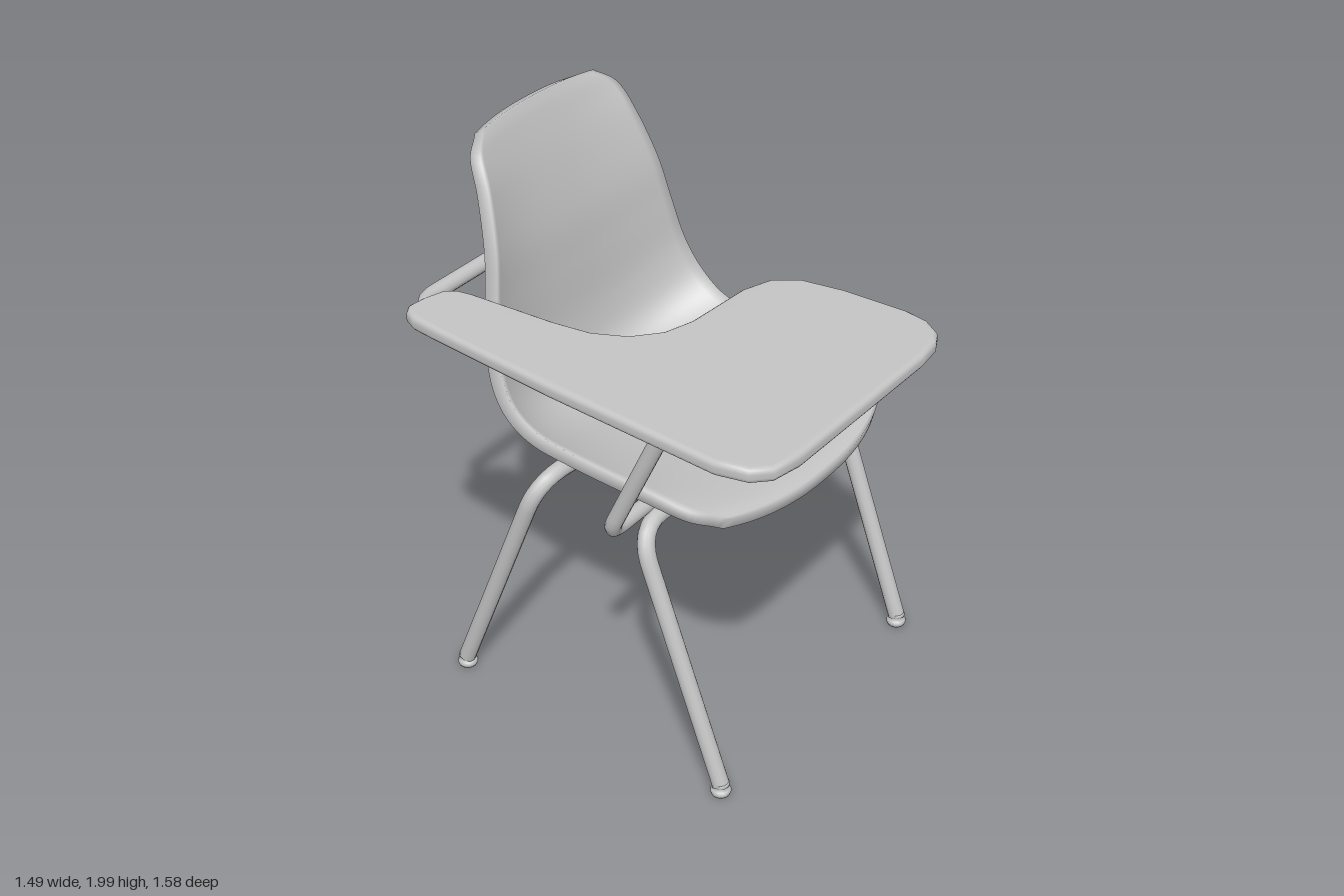
import * as THREE from 'three';
import { mergeVertices } from 'three/addons/utils/BufferGeometryUtils.js';

const V = (x, y, z) => new THREE.Vector3(x, y, z);
const CX = 0.165; // middle of the chair; the writing tablet hangs off to one side

// Tube along straight runs with rounded corners
function bentTube(points, radius, bend) {
  const path = new THREE.CurvePath();
  let from = points[0];
  for (let i = 1; i < points.length - 1; i++) {
    const p = points[i];
    const a = p.clone().add(points[i - 1].clone().sub(p).setLength(bend));
    const b = p.clone().add(points[i + 1].clone().sub(p).setLength(bend));
    path.add(new THREE.LineCurve3(from, a));
    path.add(new THREE.QuadraticBezierCurve3(a, p, b));
    from = b;
  }
  path.add(new THREE.LineCurve3(from, points[points.length - 1]));
  return new THREE.TubeGeometry(path, 100, radius, 12);
}

// Moulded shell: centre line and edge line blended across the width, then thickened
function shellGeometry() {
  // [centre z, centre y, edge half width, edge y, edge z]
  const sections = [
    [0.425, 1.01, 0.445, 1.03, 0.335],
    [0.33, 1.025, 0.505, 1.055, 0.24],
    [0.1, 1.015, 0.523, 1.08, 0.08],
    [-0.2, 0.993, 0.527, 1.1, -0.2],
    [-0.44, 0.99, 0.527, 1.125, -0.36],
    [-0.56, 1.05, 0.522, 1.2, -0.46],
    [-0.605, 1.19, 0.498, 1.32, -0.52],
    [-0.622, 1.4, 0.46, 1.48, -0.548],
    [-0.638, 1.58, 0.42, 1.65, -0.575],
    [-0.68, 1.78, 0.377, 1.82, -0.63],
    [-0.725, 1.93, 0.345, 1.925, -0.685],
    [-0.75, 1.99, 0.275, 1.98, -0.73],
  ];
  const centre = new THREE.CatmullRomCurve3(sections.map(s => V(0, s[1], s[0])), false, 'catmullrom');
  const edge = new THREE.CatmullRomCurve3(sections.map(s => V(s[2], s[3], s[4])), false, 'catmullrom');
  const nu = 32, nv = 66, row = nu + 1, count = row * (nv + 1);
  const pos = [], top = [];
  for (let j = 0; j <= nv; j++) {
    const c = centre.getPoint(j / nv), e = edge.getPoint(j / nv);
    for (let i = 0; i <= nu; i++) {
      const u = (i / nu) * 2 - 1, k = Math.abs(u) ** 2.4;
      pos.push(CX + e.x * u, c.y + (e.y - c.y) * k, c.z + (e.z - c.z) * k);
      if (i < nu && j < nv) {
        const a = j * row + i;
        top.push(a, a + 1, a + row, a + 1, a + row + 1, a + row);
      }
    }
  }
  const face = new THREE.BufferGeometry();
  face.setAttribute('position', new THREE.Float32BufferAttribute(pos, 3));
  face.setIndex(top);
  face.computeVertexNormals();
  const n = face.attributes.normal.array;
  const all = pos.concat(pos.map((p, i) => p - 0.04 * n[i]));
  const index = [...top];
  for (let i = 0; i < top.length; i += 3) index.push(top[i] + count, top[i + 2] + count, top[i + 1] + count);
  // rim joining the two skins
  const rim = (a, b) => index.push(b, a, a + count, b, a + count, b + count);
  for (let i = 0; i < nu; i++) {
    rim(i, i + 1);
    rim(nv * row + i + 1, nv * row + i);
  }
  for (let j = 0; j < nv; j++) {
    rim(j * row + nu, (j + 1) * row + nu);
    rim((j + 1) * row, j * row);
  }
  const g = new THREE.BufferGeometry();
  g.setAttribute('position', new THREE.Float32BufferAttribute(all, 3));
  g.setIndex(index);
  g.computeVertexNormals();
  return g;
}

// L-shaped writing tablet with softened edges
function tabletGeometry() {
  const outline = [
    [-0.62, -0.615], [-0.56, -0.61], [-0.49, -0.59], [-0.46, -0.55], [-0.45, -0.5], [-0.43, -0.2],
    [-0.41, -0.07], [-0.36, 0.03], [-0.28, 0.1], [-0.18, 0.13], [0.06, 0.145], [0.16, 0.18],
    [0.22, 0.26], [0.245, 0.4], [0.253, 0.62], [0.24, 0.7], [0.2, 0.76], [0.15, 0.785],
    [0.06, 0.795], [-0.57, 0.79], [-0.67, 0.77], [-0.72, 0.72], [-0.745, 0.62], [-0.715, 0],
    [-0.68, -0.45], [-0.67, -0.55], [-0.65, -0.595],
  ];
  const shape = new THREE.Shape(outline.map(([x, z]) => new THREE.Vector2(x, -z)));
  const g = new THREE.ExtrudeGeometry(shape, {
    depth: 0.014, bevelThickness: 0.018, bevelSize: 0.018, bevelOffset: -0.018, bevelSegments: 4,
  });
  g.deleteAttribute('normal');
  g.deleteAttribute('uv');
  const smooth = mergeVertices(g, 1e-4);
  smooth.computeVertexNormals();
  return smooth.rotateX(-Math.PI / 2).translate(0, 1.6, 0);
}

export function createModel() {
  const grey = new THREE.MeshStandardMaterial({ color: 0xc4c4c4 });
  grey.name = 'grey';
  const model = new THREE.Group();
  model.name = 'tabletArmChair';
  const add = (name, geometry, x = 0, y = 0, z = 0) => {
    const mesh = new THREE.Mesh(geometry, grey);
    mesh.name = name;
    mesh.position.set(x, y, z);
    model.add(mesh);
    return mesh;
  };

  add('seatShell', shellGeometry());
  add('writingTablet', tabletGeometry());

  // Leg frames: one bent tube for the front pair, one for the rear pair, dipping under the seat
  const footProfile = [[0, 0], [0.032, 0], [0.036, 0.012], [0.032, 0.022], [0.022, 0.028], [0.03, 0.038], [0.028, 0.05], [0, 0.05]]
    .map(([r, y]) => new THREE.Vector2(r, y));
  const foot = new THREE.LatheGeometry(footProfile, 16);
  for (const [name, zFoot, zTop] of [['front', 0.4, 0.07], ['rear', -0.71, -0.335]]) {
    const l = CX + 0.546, r = CX - 0.55;
    add(name + 'Legs', bentTube([
      V(r, 0.035, zFoot), V(r, 0.95, zTop), V(CX - 0.22, 0.918, zTop),
      V(CX + 0.22, 0.918, zTop), V(l, 0.95, zTop), V(l, 0.035, zFoot),
    ], 0.03, 0.14));
    for (const x of [l, r]) add(name + 'Foot', foot, x, 0, zFoot);
  }

  // Brackets under the seat, each with a wing nut on its outer side
  for (const s of [-1, 1]) {
    add('bracketPlate', new THREE.BoxGeometry(0.2, 0.02, 0.35), CX + s * 0.25, 0.955, -0.13);
    add('bracketSide', new THREE.BoxGeometry(0.03, 0.08, 0.35), CX + s * 0.335, 0.925, -0.13);
    const x = CX + s * 0.355;
    for (const dz of [-0.05, 0.05]) {
      add('wingNutEnd', new THREE.SphereGeometry(0.025, 12, 8), x, 0.928, -0.133 + dz).scale.x = 0.6;
    }
    add('wingNutBar', new THREE.CylinderGeometry(0.013, 0.013, 0.1, 8).rotateX(Math.PI / 2), x, 0.928, -0.133);
  }

  // Tablet support: out from the frame, up, back under the tablet and behind the backrest
  add('tabletSupport', bentTube([
    V(0.0, 0.955, 0.03), V(-0.25, 0.97, 0.035), V(-0.512, 0.985, 0.05), V(-0.512, 1.553, 0.315),
    V(-0.512, 1.553, -0.69), V(-0.2, 1.553, -0.69), V(0.22, 1.553, -0.69),
  ], 0.027, 0.09));
  add('supportEnd', new THREE.SphereGeometry(0.027, 12, 8), 0.22, 1.553, -0.69);
  add('tabletMount', new THREE.BoxGeometry(0.07, 0.02, 0.9), -0.512, 1.58, -0.1);

  return model;
}
